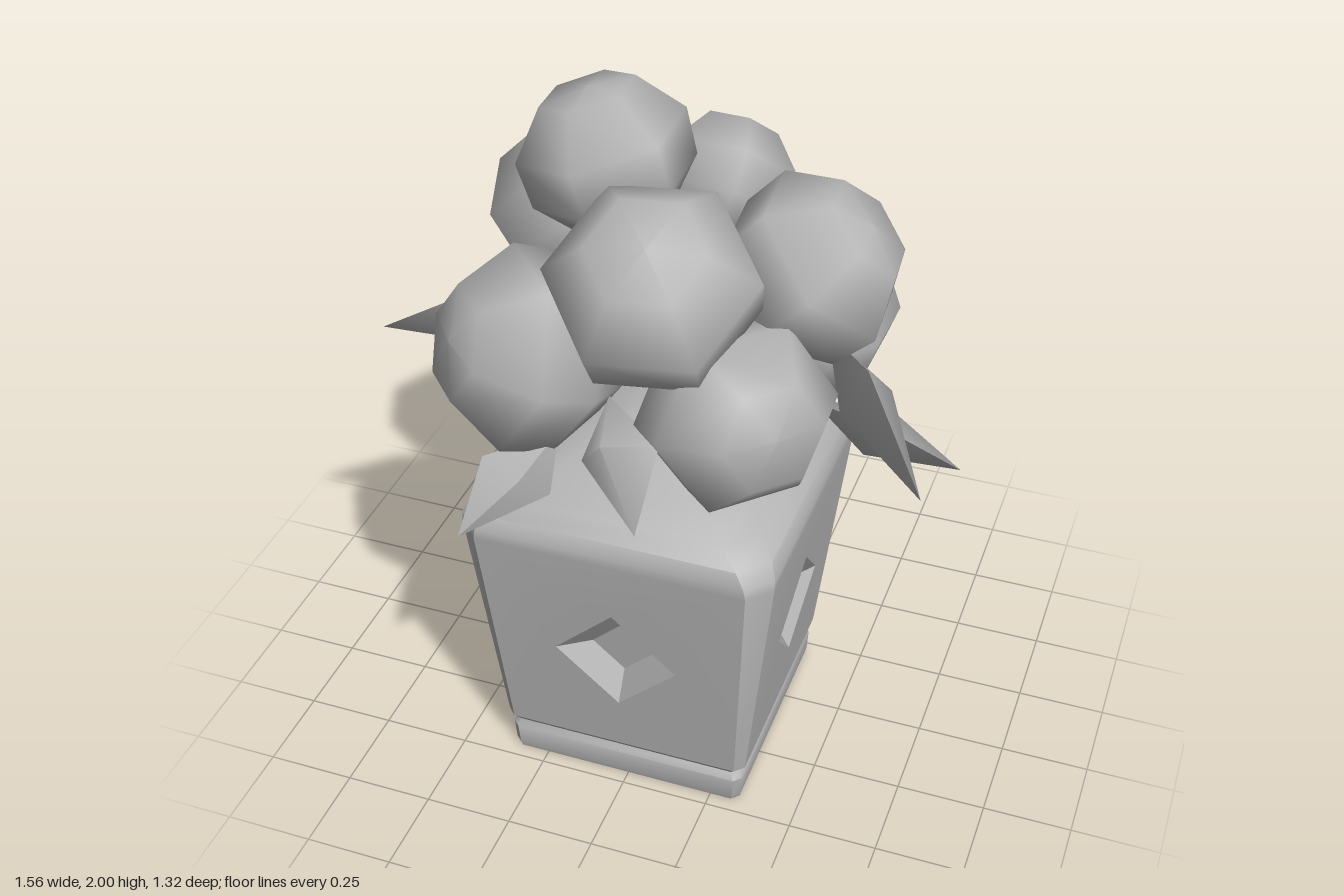
import * as THREE from 'three';
import { toCreasedNormals } from 'three/addons/utils/BufferGeometryUtils.js';

const V = (a) => new THREE.Vector3(...a);
const UP = new THREE.Vector3(0, 1, 0);

export function createModel() {
  const model = new THREE.Group();
  const stone = new THREE.MeshStandardMaterial({ color: 0xb4b4b4 });

  const add = (parent, geometry, name) => {
    const mesh = new THREE.Mesh(geometry, stone);
    mesh.name = name;
    parent.add(mesh);
    return mesh;
  };

  // Triangles and quads of Vector3 corners, smooth up to the crease angle
  const fromFaces = (faces, crease) => {
    const points = [];
    for (const f of faces) {
      for (let i = 1; i < f.length - 1; i++) points.push(f[0], f[i], f[i + 1]);
    }
    return toCreasedNormals(new THREE.BufferGeometry().setFromPoints(points), crease);
  };

  const turn = (p, k) => p.clone().applyAxisAngle(UP, k * Math.PI / 2);

  // Square outline with chamfered corners: y, half width, chamfer
  const ring = ([y, h, c]) => {
    const pts = [];
    for (let k = 0; k < 4; k++) {
      for (const x of [c - h, h - c]) pts.push(turn(new THREE.Vector3(x, y, h), k));
    }
    return pts;
  };

  const loft = (rows, { bottom = false, top = false, cornersOnly = false } = {}) => {
    const rings = rows.map(ring);
    const faces = [];
    for (let r = 0; r < rings.length - 1; r++) {
      for (let i = 0; i < 8; i++) {
        if (cornersOnly && i % 2 === 0) continue;
        const j = (i + 1) % 8;
        faces.push([rings[r][i], rings[r][j], rings[r + 1][j], rings[r + 1][i]]);
      }
    }
    if (bottom) faces.push([...rings[0]].reverse());
    if (top) faces.push(rings[rings.length - 1]);
    return faces;
  };

  // Pot
  const pot = new THREE.Group();
  pot.name = 'pot';
  pot.position.set(-0.01, 0, 0.115);
  model.add(pot);

  const low = [0.13, 0.36, 0.025], high = [0.84, 0.442, 0.06];
  add(pot, fromFaces(loft([[0, 0.342, 0.02], [0.015, 0.346, 0.02], [0.08, 0.35, 0.02],
    [0.102, 0.338, 0.02], low], { bottom: true }), 0.7), 'potBase');

  // One sloping wall with a sunken diamond, turned to all four sides
  const slope = (y) => low[1] + (y - low[0]) / (high[0] - low[0]) * (high[1] - low[1]);
  const diamond = (r, depth) => [[0, -r], [r, 0], [0, r], [-r, 0]]
    .map(([x, y]) => new THREE.Vector3(x, 0.48 + y, slope(0.48 + y) - depth));
  const outer = diamond(0.175, 0), inner = diamond(0.088, 0.06);
  const wallShape = new THREE.Shape([low, high].flatMap(([y, h, c], i) => {
    const s = i ? -1 : 1;
    return [new THREE.Vector2(-s * (h - c), y), new THREE.Vector2(s * (h - c), y)];
  }));
  wallShape.holes.push(new THREE.Path(outer.map((p) => new THREE.Vector2(p.x, p.y))));
  const flatWall = new THREE.ShapeGeometry(wallShape).toNonIndexed().attributes.position;
  const wallFaces = [];
  for (let i = 0; i < flatWall.count; i += 3) {
    wallFaces.push([0, 1, 2].map((n) => {
      const y = flatWall.getY(i + n);
      return new THREE.Vector3(flatWall.getX(i + n), y, slope(y));
    }));
  }
  const recessFaces = [inner];
  for (let i = 0; i < 4; i++) {
    const j = (i + 1) % 4;
    recessFaces.push([outer[i], outer[j], inner[j], inner[i]]);
  }
  const allSides = (faces) => [0, 1, 2, 3].flatMap((k) => faces.map((f) => f.map((p) => turn(p, k))));
  add(pot, fromFaces(allSides(recessFaces), 0.3), 'diamondRecesses');
  add(pot, fromFaces([
    ...allSides(wallFaces),
    ...loft([low, high], { cornersOnly: true }),
    ...loft([high, [0.87, 0.442, 0.065], [0.91, 0.425, 0.075], [0.95, 0.388, 0.09],
      [1.0, 0.31, 0.09], [1.05, 0.21, 0.08], [1.09, 0.09, 0.03]], { top: true }),
  ], 0.7), 'potBody');

  // Six-sided rounded blossoms facing away from the middle of the bunch
  const blossom = new THREE.LatheGeometry([[0, -0.84], [0.55, -0.78], [0.97, -0.3], [1, 0.26],
    [0.56, 0.8], [0, 0.86]].map((p) => new THREE.Vector2(...p)), 6);
  const blossoms = new THREE.Group();
  blossoms.name = 'blossoms';
  model.add(blossoms);
  const heart = new THREE.Vector3(0, 1.2, 0.08);
  [
    [-0.17, 1.79, 0.085, 0.23],
    [0.06, 1.61, 0.37, 0.275],
    [-0.29, 1.34, 0.35, 0.27],
    [0.27, 1.275, 0.345, 0.26],
    [-0.34, 1.5, -0.13, 0.26],
    [0.37, 1.55, 0.05, 0.25],
    [0.02, 1.56, -0.28, 0.205],
    [0.29, 1.245, -0.23, 0.26],
    [-0.23, 1.27, -0.26, 0.265],
  ].forEach(([x, y, z, r]) => {
    const b = add(blossoms, blossom, 'blossom');
    b.position.set(x, y, z);
    b.scale.setScalar(r);
    const out = b.position.clone().sub(heart).normalize();
    b.quaternion.setFromUnitVectors(UP, out);
    b.rotateY(Math.atan2(out.z, -out.x)); // corners level, flats above and below
  });

  // Pointed leaves: base, tip and half width vector, with a ridge on both sides
  const leafGeometry = (baseP, tipP, half) => {
    const base = V(baseP), tip = V(tipP), side = V(half);
    const mid = base.clone().lerp(tip, 0.42);
    const ridge = tip.clone().sub(base).cross(side).normalize().multiplyScalar(0.075);
    const rim = [base, mid.clone().sub(side), tip, mid.clone().add(side)];
    const up = mid.clone().add(ridge), down = mid.clone().sub(ridge);
    const faces = [];
    for (let i = 0; i < 4; i++) {
      const j = (i + 1) % 4;
      faces.push([rim[i], rim[j], up], [rim[j], rim[i], down]);
    }
    return fromFaces(faces, 1.1);
  };
  const leaves = new THREE.Group();
  leaves.name = 'leaves';
  model.add(leaves);
  [
    [[0.40, 1.30, -0.04], [0.76, 1.1, 0.33], [0.03, 0.18, 0.12]],
    [[0.36, 1.05, -0.07], [0.78, 0.905, -0.09], [0.07, 0.1, 0.13]],
    [[-0.34, 1.26, 0.04], [-0.78, 1.235, 0.24], [0.01, 0.15, 0.12]],
    [[-0.38, 1.17, -0.23], [-0.61, 0.83, -0.2], [-0.13, 0.07, 0.1]],
    [[-0.19, 1.15, 0.42], [-0.39, 0.915, 0.65], [-0.085, 0.055, 0.02]],
    [[-0.07, 1.25, 0.36], [0.11, 1.06, 0.66], [0.115, 0.065, 0.02]],
    [[0.06, 1.12, -0.25], [0.11, 0.905, -0.66], [0.13, 0.06, 0.01]],
  ].forEach((l) => add(leaves, leafGeometry(...l), 'leaf'));

  return model;
}
